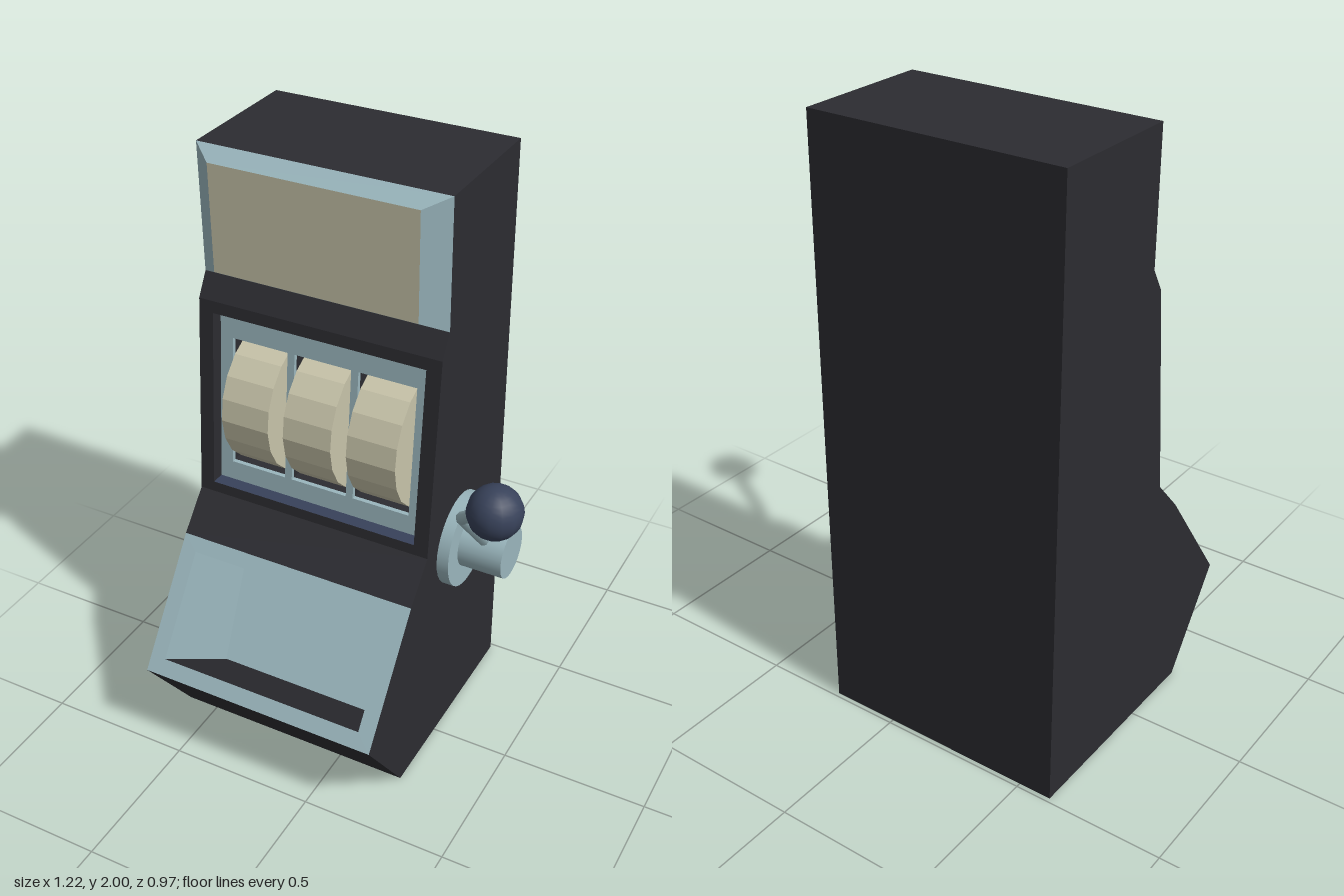
import * as THREE from 'three';

const mat = (color, flatShading = true) => new THREE.MeshStandardMaterial({ color, flatShading });
const DARK = mat(0x2c2c31), STEEL = mat(0x9ab6bd), CREAM = mat(0xc8c4aa), BLUE = mat(0x38425a);
const STEEL_SMOOTH = mat(0x9ab6bd, false), BLUE_SMOOTH = mat(0x38425a, false);
const X0 = -0.61, X1 = 0.23; // cabinet sides

// Four corners of a panel spanning x0..x1 from point p to point q, points given as [z, y]
const loop = (x0, x1, p, q, inset = 0) => [
  [x0 + inset, p[1], p[0]], [x1 - inset, p[1], p[0]], [x1, q[1], q[0]], [x0, q[1], q[0]],
];
// Four quads joining two loops: a frame, a recess wall or a bevel
const ring = (a, b) => [0, 1, 2, 3].map((i) => [a[i], a[(i + 1) % 4], b[(i + 1) % 4], b[i]]);

function panels(name, quads, material) {
  const pos = quads.flatMap(([a, b, c, d]) => [a, b, c, a, c, d]).flat();
  const g = new THREE.BufferGeometry();
  g.setAttribute('position', new THREE.Float32BufferAttribute(pos, 3));
  g.computeVertexNormals();
  return part(name, g, material);
}

function part(name, geometry, material, x = 0, y = 0, z = 0) {
  const m = new THREE.Mesh(geometry, material);
  m.name = name;
  m.position.set(x, y, z);
  return m;
}

// Cylinder lying along x
const drum = (r, length, sides) => new THREE.CylinderGeometry(r, r, length, sides).rotateZ(Math.PI / 2);

function cabinet() {
  const g = new THREE.Group();
  g.name = 'cabinet';
  // Side outline as [z, y], from the bottom back round the front to the top back
  const P = [[-0.485, 0], [0.26, 0], [0.485, 0.315], [0.2, 0.7], [0.09, 0.82],
    [0.02, 1.5], [-0.025, 1.575], [-0.025, 2], [-0.485, 2]];
  for (const s of [-1, 1]) {
    const outline = new THREE.Shape(P.map(([z, y]) => new THREE.Vector2(-s * z, y)));
    const side = new THREE.ShapeGeometry(outline).rotateY(s * Math.PI / 2);
    g.add(part(s > 0 ? 'leftSide' : 'rightSide', side, DARK, s > 0 ? X1 : X0));
  }
  const span = (i) => loop(X0, X1, P[i], P[(i + 1) % P.length]);
  g.add(panels('shell', [1, 3, 5, 6, 7, 8].map(span), DARK));
  g.add(panels('underside', [span(0)], BLUE));

  // Coin tray sunk into the lower slope
  const low = [0.452, 0.36], high = [0.23, 0.66];
  const sink = ([z, y]) => [z - 0.3, y - 0.225];
  const rim = loop(-0.555, 0.175, low, high);
  const trayBack = loop(-0.555, 0.175, sink(low), sink(high), 0.035);
  const [floor, ...walls] = ring(rim, trayBack);
  g.add(panels('trayFrame', ring(span(2), rim), STEEL));
  g.add(panels('trayWalls', [...walls, trayBack], STEEL));
  g.add(panels('trayFloor', [floor], DARK));

  // Recessed reel panel on the upper slope
  const at = (y, depth) => [0.09 - (y - 0.82) * 0.103 - depth, y];
  const opening = loop(-0.56, 0.18, at(0.855, 0), at(1.46, 0));
  const sunk = loop(-0.56, 0.18, at(0.855, 0.045), at(1.46, 0.045));
  const [ledge, ...edges] = ring(opening, sunk);
  g.add(panels('reelSurround', [...ring(span(4), opening), ...edges], DARK));
  g.add(panels('reelLedge', [ledge], BLUE));

  // Three windows, each with its pocket and reel
  const cuts = [-0.56, -0.3025, -0.0775, 0.18];
  for (let i = 0; i < 3; i++) {
    const x = -0.415 + i * 0.225;
    const cell = loop(cuts[i], cuts[i + 1], at(0.855, 0.045), at(1.46, 0.045));
    const hole = (depth) => loop(x - 0.1, x + 0.1, at(0.92, depth), at(1.365, depth));
    g.add(panels('reelPanel', [...ring(cell, hole(0.045)), ...ring(hole(0.045), hole(0.06))], STEEL));
    g.add(panels('reelPocket', [...ring(hole(0.06), hole(0.16)), hole(0.16)], DARK));
    g.add(part('reel', drum(0.24, 0.17, 20), CREAM, x, 1.125, -0.137));
  }

  // Bevelled sign at the top
  const face = loop(-0.54, 0.155, [0.03, 1.61], [0.03, 1.965]);
  g.add(panels('signFrame', ring(span(6), face), STEEL));
  g.add(panels('signFace', [face], CREAM));
  return g;
}

function lever() {
  const g = new THREE.Group();
  g.name = 'lever';
  g.add(part('leverPlate', drum(0.16, 0.04, 32), STEEL_SMOOTH, 0.25, 0.755, -0.14));
  g.add(part('leverHub', drum(0.088, 0.15, 24), STEEL_SMOOTH, 0.345, 0.755, -0.14));
  // Bent arm: straight up from the hub, then outwards to the knob
  const [a, b, c] = [[0.345, 0.76, -0.136], [0.345, 1.03, 0.103], [0.525, 1.23, 0.28]]
    .map((p) => new THREE.Vector3(...p));
  const path = new THREE.CurvePath();
  path.add(new THREE.LineCurve3(a, b));
  path.add(new THREE.LineCurve3(b, c));
  g.add(part('leverArm', new THREE.TubeGeometry(path, 24, 0.02, 8), STEEL_SMOOTH));
  g.add(part('leverKnob', new THREE.SphereGeometry(0.083, 14, 16), BLUE_SMOOTH, c.x, c.y, c.z));
  return g;
}

export function createModel() {
  const model = new THREE.Group();
  model.name = 'slotMachine';
  model.add(cabinet(), lever());
  return model;
}
